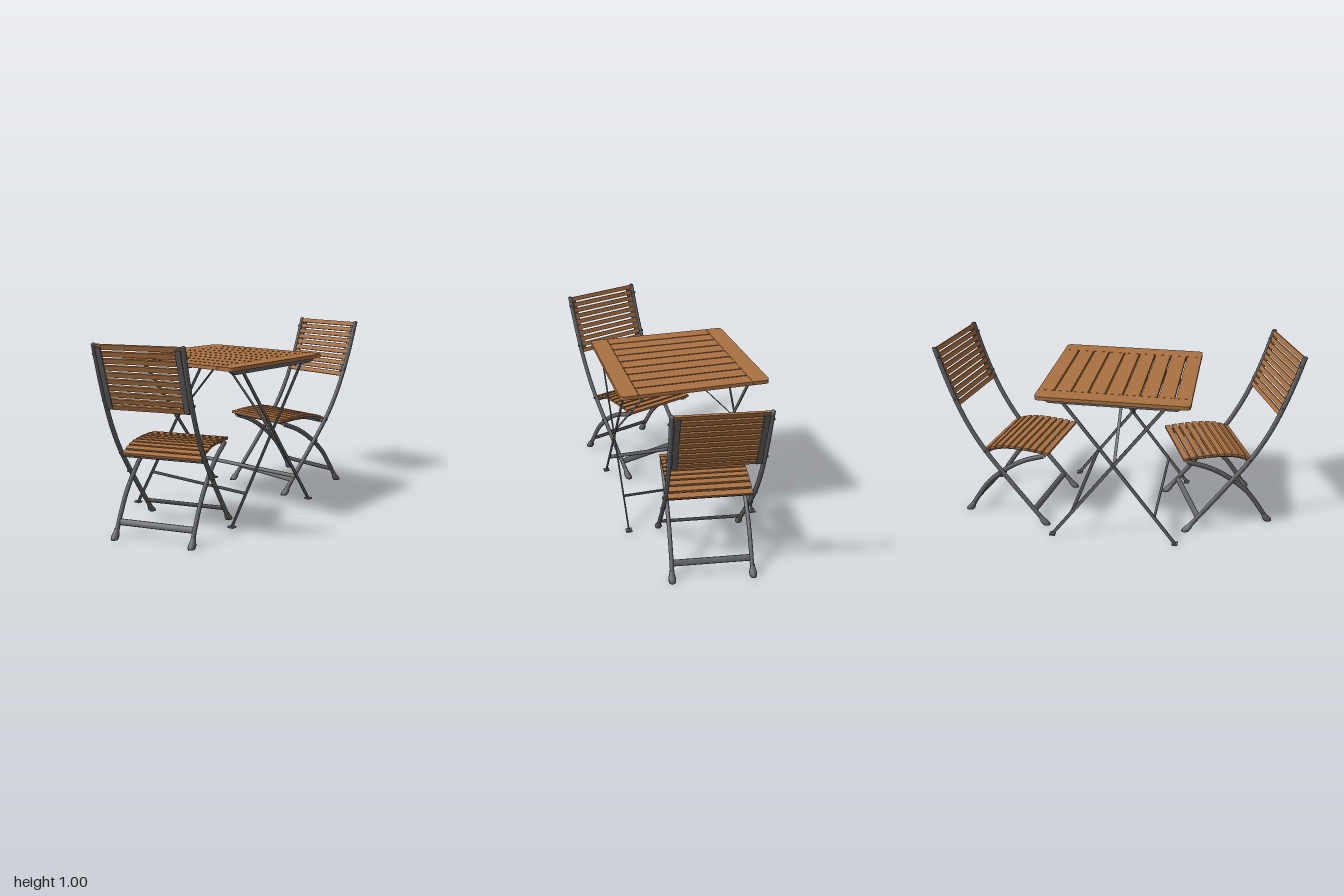
import * as THREE from 'three';

const wood = new THREE.MeshStandardMaterial({ color: 0xaa7142 });
wood.name = 'oiled wood';
const metal = new THREE.MeshStandardMaterial({ color: 0x626365 });
metal.name = 'grey metal';

function add(parent, name, geometry, material, x = 0, y = 0, z = 0) {
  const mesh = new THREE.Mesh(geometry, material);
  mesh.name = name;
  mesh.position.set(x, y, z);
  parent.add(mesh);
  return mesh;
}

const box = (w, h, d) => new THREE.BoxGeometry(w, h, d);

// Straight flat bar between two points: w is horizontal, h lies in the vertical plane
function beam(parent, name, a, b, w, h) {
  const p = new THREE.Vector3(...a), q = new THREE.Vector3(...b);
  const mesh = new THREE.Mesh(box(w, h, p.distanceTo(q)), metal);
  mesh.name = name;
  mesh.position.copy(p).add(q).multiplyScalar(0.5);
  mesh.lookAt(q);
  parent.add(mesh);
}

// Oval cross bar along x, height h and depth d, leaning by tilt
function crossBar(parent, name, length, y, z, h, d, tilt = 0) {
  const geometry = new THREE.CylinderGeometry(0.5, 0.5, length, 12);
  geometry.rotateZ(Math.PI / 2);
  geometry.scale(1, h, d);
  add(parent, name, geometry, metal, 0, y, z).rotation.x = tilt;
}

// Smooth side profile from [forward, height] pairs
const profile = (pts) => new THREE.CatmullRomCurve3(pts.map(([s, y]) => new THREE.Vector3(0, y, s)));

// Oval bar bent along a side profile
function bentBar(parent, name, curve, x, r = 0.0138) {
  const geometry = new THREE.TubeGeometry(curve, 32, r, 10);
  geometry.scale(0.8, 1, 1);
  add(parent, name, geometry, metal, x);
  for (const t of [0, 1]) {
    const p = curve.getPoint(t);
    add(parent, name + 'End', new THREE.SphereGeometry(r, 10, 8), metal, x, p.y - (t ? 0 : 0.003), p.z).scale.set(0.8, 0.6, 1);
  }
}

// Flared boot at the bottom of a chair leg, leaning with it
function boot(parent, x, s, lean) {
  const profilePoints = [[0, -0.025], [0.018, -0.025], [0.02, -0.012], [0.017, 0], [0.0125, 0.014], [0.012, 0.024], [0, 0.024]];
  const geometry = new THREE.LatheGeometry(profilePoints.map(([r, y]) => new THREE.Vector2(r, y)), 12);
  const pos = geometry.attributes.position;
  for (let i = 0; i < pos.count; i++) {
    pos.setZ(i, pos.getZ(i) * 1.25 - lean * pos.getY(i));
  }
  geometry.computeVertexNormals();
  add(parent, 'legBoot', geometry, metal, x, 0.025, s);
}

function createChair() {
  const chair = new THREE.Group();
  chair.name = 'foldingChair';
  const rail = profile([[0, 0.995], [0.052, 0.83], [0.115, 0.667], [0.175, 0.545], [0.255, 0.42], [0.4, 0.245], [0.59, 0.03]]);
  const leg = profile([[0.14, 0.03], [0.193, 0.115], [0.263, 0.21], [0.383, 0.315], [0.49, 0.38], [0.605, 0.425]]);
  const seat = profile([[0.262, 0.416], [0.31, 0.436], [0.37, 0.449], [0.45, 0.454], [0.54, 0.452], [0.62, 0.445]]);

  for (const side of [-1, 1]) {
    bentBar(chair, 'backRail', rail, side * 0.226);
    bentBar(chair, 'crossLeg', leg, side * 0.206);
    boot(chair, side * 0.227, 0.596, 0.8);
    boot(chair, side * 0.208, 0.135, -0.6);
    // strap that carries the back slats
    beam(chair, 'backStrap', [side * 0.201, 0.98, -0.007], [side * 0.201, 0.67, 0.103], 0.028, 0.008);
    // bearer under the seat slats
    const bearer = new THREE.TubeGeometry(seat, 16, 0.009, 8);
    bearer.scale(0.7, 1, 1);
    add(chair, 'seatBearer', bearer, metal, side * 0.19, -0.014);
    // pivots
    for (const [s, y] of [[0.35, 0.295], [0.262, 0.412], [0.02, 0.945], [0.1, 0.71]]) {
      add(chair, 'pivotBolt', new THREE.CylinderGeometry(0.007, 0.007, 0.03, 8), metal, side * 0.226, y, s).rotation.z = Math.PI / 2;
    }
  }

  // back slats
  for (let i = 0; i < 10; i++) {
    const t = (i + 0.4) / 29.4;
    const p = rail.getPoint(t), d = rail.getTangent(t);
    const slat = add(chair, 'backSlat', box(0.432, 0.025, 0.012), wood, 0, p.y, p.z);
    slat.rotation.x = -Math.atan2(d.z, -d.y);
  }

  // seat slats
  for (let i = 0; i < 10; i++) {
    const p = seat.getPointAt(i / 9), d = seat.getTangentAt(i / 9);
    const slat = add(chair, 'seatSlat', box(0.43, 0.015, 0.03), wood, 0, p.y, p.z);
    slat.rotation.x = -Math.atan2(d.y, d.z);
  }

  // cross bars
  crossBar(chair, 'rearStretcher', 0.41, 0.078, 0.17, 0.034, 0.016, 0.5);
  crossBar(chair, 'frontStretcher', 0.445, 0.082, 0.545, 0.034, 0.016, -0.7);
  crossBar(chair, 'seatCrossBar', 0.445, 0.403, 0.268, 0.024, 0.016);
  crossBar(chair, 'seatFrontBar', 0.42, 0.426, 0.6, 0.012, 0.012);
  return chair;
}

function createTable() {
  const table = new THREE.Group();
  table.name = 'foldingTable';

  // end boards with rounded outer corners
  for (const side of [-1, 1]) {
    const s = new THREE.Shape();
    s.moveTo(side * 0.305, -0.402);
    s.lineTo(side * 0.377, -0.402);
    s.quadraticCurveTo(side * 0.397, -0.4, side * 0.4, -0.377);
    s.lineTo(side * 0.4, 0.377);
    s.quadraticCurveTo(side * 0.397, 0.4, side * 0.377, 0.402);
    s.lineTo(side * 0.305, 0.402);
    const g = new THREE.ExtrudeGeometry(s, { depth: 0.02, bevelEnabled: false, curveSegments: 4 });
    g.rotateX(-Math.PI / 2);
    add(table, 'endBoard', g, wood, 0, 0.835);
  }

  // table slats
  for (let i = 0; i < 9; i++) {
    add(table, 'tableSlat', box(0.606, 0.02, 0.082), wood, 0, 0.845, (i - 4) * 0.09);
  }

  // bearers under the top, with sloping ends
  const bar = new THREE.Shape([[-0.36, 0.835], [-0.36, 0.825], [-0.335, 0.81], [0.335, 0.81], [0.36, 0.825], [0.36, 0.835]]
    .map(([z, y]) => new THREE.Vector2(z, y)));
  const barGeometry = new THREE.ExtrudeGeometry(bar, { depth: 0.024, bevelEnabled: false });
  barGeometry.translate(0, 0, -0.012);
  barGeometry.rotateY(-Math.PI / 2);
  for (const x of [-0.355, 0, 0.355]) add(table, 'topBearer', barGeometry, metal, x);

  // crossed legs, one pair just outside the other
  for (const [dir, x] of [[1, 0.362], [-1, 0.349]]) {
    for (const side of [-1, 1]) {
      beam(table, 'tableLeg', [side * x, 0.815, dir * 0.266], [side * x, 0.012, dir * -0.341], 0.006, 0.018);
      add(table, 'tableFoot', box(0.034, 0.008, 0.032), metal, side * x, 0.011, dir * -0.341);
    }
    const stretcher = new THREE.Group();
    stretcher.name = 'legStretcher';
    crossBar(stretcher, 'stretcherBar', 2 * x, 0.165, dir * -0.226, 0.023, 0.012, dir * -0.6);
    table.add(stretcher);
  }

  // pivots and diagonal stays
  for (const side of [-1, 1]) {
    add(table, 'legPivot', new THREE.CylinderGeometry(0.006, 0.006, 0.034, 10), metal, side * 0.353, 0.462, 0.006).rotation.z = Math.PI / 2;
    beam(table, 'diagonalStay', [side * 0.346, 0.465, 0.006], [side * 0.01, 0.825, 0.006], 0.016, 0.004);
  }
  return table;
}

export function createModel() {
  const model = new THREE.Group();
  model.name = 'gardenTableAndChairs';

  const table = createTable();
  table.position.set(-0.03, 0, 0.024);

  const backChair = createChair();
  backChair.position.set(0.032, 0, -0.952);
  backChair.rotation.y = -0.152;

  const frontChair = createChair();
  frontChair.position.set(0.205, 0, 0.905);
  frontChair.rotation.y = Math.PI + 0.357;

  model.add(table, backChair, frontChair);
  return model;
}
